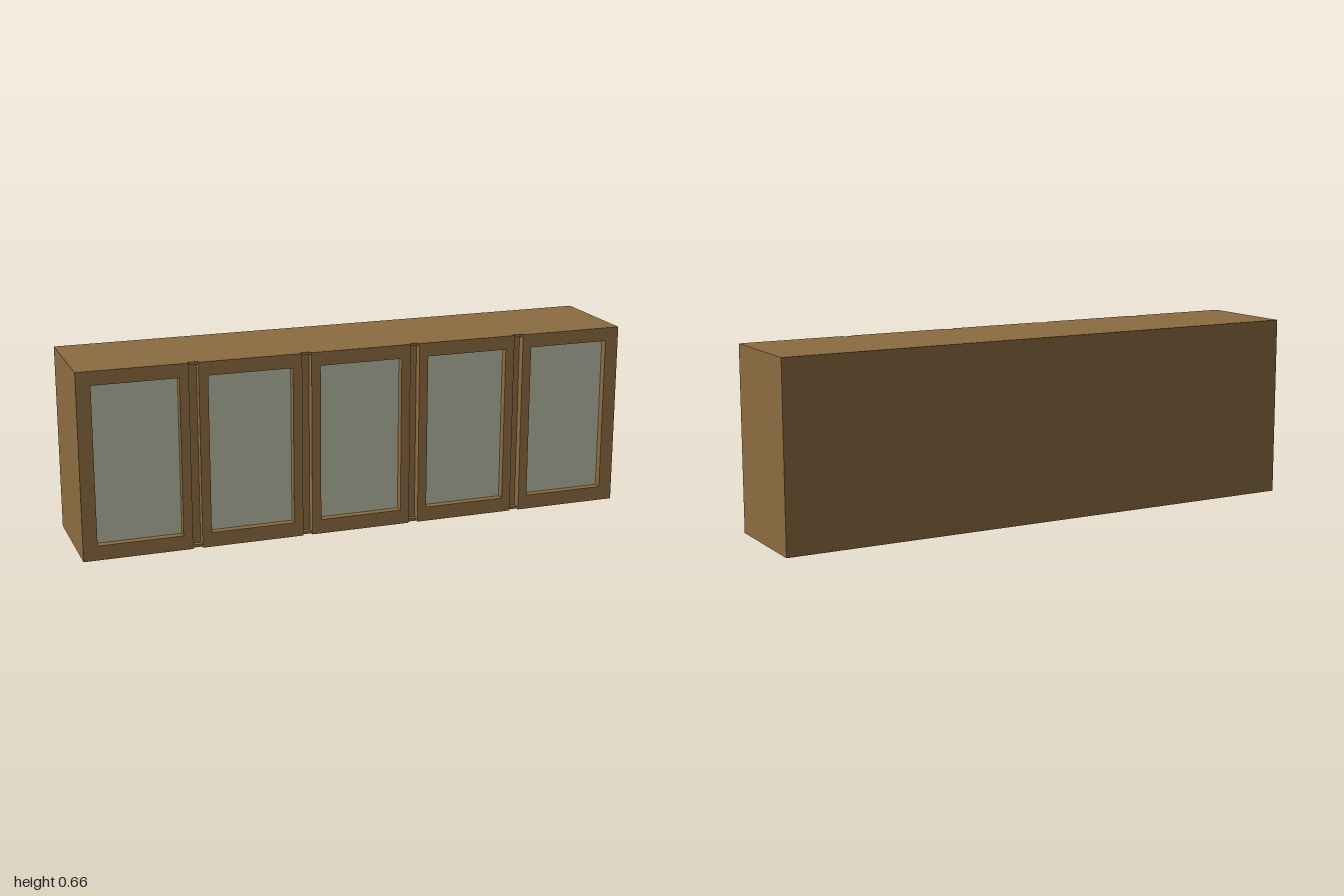
import * as THREE from 'three';

const W = 2, H = 0.662, D = 0.385;
const BAYS = 5, PITCH = W / BAYS, GAP = 0.034;
const FRONT = D / 2, RECESS = 0.03, RAIL = 0.01, NOTCH = 0.012;
const BODY_FRONT = FRONT - RECESS;

const wood = new THREE.MeshStandardMaterial({ color: 0x8d6c41 });
const glass = new THREE.MeshStandardMaterial({ color: 0xb3b7a0 });

function box(name, material, [w, h, d], [x, y, z]) {
  const mesh = new THREE.Mesh(new THREE.BoxGeometry(w, h, d), material);
  mesh.position.set(x, y, z);
  mesh.name = name;
  return mesh;
}

function rectangle(target, x0, x1, y0, y1) {
  target.moveTo(x0, y0);
  target.lineTo(x1, y0);
  target.lineTo(x1, y1);
  target.lineTo(x0, y1);
  target.closePath();
  return target;
}

export function createModel() {
  const cabinet = new THREE.Group();
  cabinet.name = 'cabinet';

  // Carcass behind the doors
  const bodyDepth = D - RECESS;
  cabinet.add(box('carcass', wood, [W, H, bodyDepth], [0, H / 2, BODY_FRONT - bodyDepth / 2]));

  for (let i = 0; i < BAYS; i++) {
    const x = -W / 2 + PITCH * (i + 0.5);
    const door = new THREE.Group();
    door.name = 'door';

    // Door frame: the outer doors run flush to the cabinet ends
    const left = x - PITCH / 2 + (i === 0 ? 0 : GAP / 2);
    const right = x + PITCH / 2 - (i === BAYS - 1 ? 0 : GAP / 2);
    const shape = rectangle(new THREE.Shape(), left, right, 0, H);
    shape.holes.push(rectangle(new THREE.Path(), x - 0.15, x + 0.15, 0.052, 0.613));
    const frame = new THREE.Mesh(
      new THREE.ExtrudeGeometry(shape, { depth: RECESS, bevelEnabled: false }), wood);
    frame.position.z = BODY_FRONT;
    frame.name = 'doorFrame';
    door.add(frame);

    // Recessed pane
    door.add(box('glassPane', glass, [0.3, 0.561, 0.004], [x, 0.3325, BODY_FRONT]));
    cabinet.add(door);

    // Thin rails closing the top and bottom of the groove beside each door
    if (i < BAYS - 1) {
      const depth = RECESS - NOTCH;
      for (const y of [RAIL / 2, H - RAIL / 2]) {
        cabinet.add(box('grooveRail', wood, [GAP, RAIL, depth],
          [x + PITCH / 2, y, BODY_FRONT + depth / 2]));
      }
    }
  }
  return cabinet;
}
